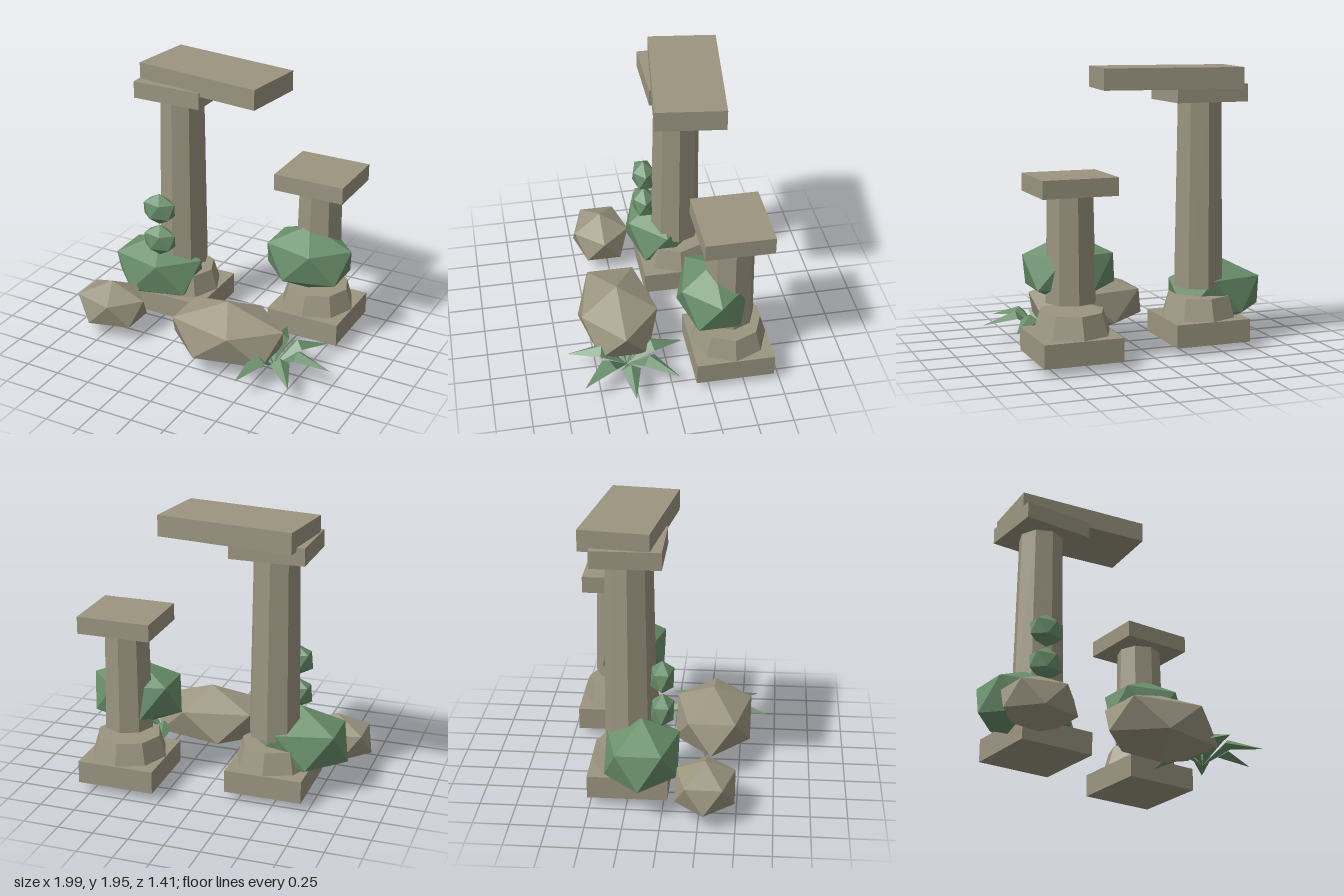
import * as THREE from 'three';

const stone = new THREE.MeshStandardMaterial({ color: 0x9b9580, flatShading: true });
stone.name = 'stone';
const leafGreen = new THREE.MeshStandardMaterial({ color: 0x6a906c, flatShading: true, side: THREE.DoubleSide });
leafGreen.name = 'leafGreen';

function mesh(name, geometry, material, x, y, z) {
  const m = new THREE.Mesh(geometry, material);
  m.name = name;
  m.position.set(x, y, z);
  return m;
}

function fromIndexed(points, faces) {
  const indexed = new THREE.BufferGeometry();
  indexed.setAttribute('position', new THREE.Float32BufferAttribute(points.flat(), 3));
  indexed.setIndex(faces.flat());
  const g = indexed.toNonIndexed();
  g.computeVertexNormals();
  return g;
}

// Icosahedron standing on a vertex, with one upper ring corner facing +x
function poleIcosahedron() {
  const points = [[0, 1, 0], [0, -1, 0]];
  const h = 1 / Math.sqrt(5), r = 2 * h;
  for (let k = 0; k < 5; k++) {
    const a = k * Math.PI * 2 / 5, b = a + Math.PI / 5;
    points.push([r * Math.cos(a), h, r * Math.sin(a)]);
    points.push([r * Math.cos(b), -h, r * Math.sin(b)]);
  }
  const faces = [];
  for (let k = 0; k < 5; k++) {
    const n = (k + 1) % 5;
    const u = 2 + 2 * k, l = u + 1, un = 2 + 2 * n, ln = un + 1;
    faces.push([0, un, u], [u, un, l], [l, un, ln], [l, ln, 1]);
  }
  return fromIndexed(points, faces);
}

function blob(name, material, [x, y, z], [rx, ry, rz]) {
  return mesh(name, poleIcosahedron().scale(rx, ry, rz), material, x, y, z);
}

// Octagonal pillar: square plinth, sloped foot, tapered shaft, square cap
function pillar(name, x, z, shaftTop, bottomRadius) {
  const g = new THREE.Group();
  g.name = name;
  g.position.set(x, 0, z);
  const shaftH = shaftTop - 0.43;
  g.add(
    mesh('plinth', new THREE.BoxGeometry(0.545, 0.16, 0.55), stone, 0, 0.14, 0),
    mesh('foot', new THREE.CylinderGeometry(0.225, 0.27, 0.15, 8), stone, 0, 0.295, 0),
    mesh('shaft', new THREE.CylinderGeometry(0.16, bottomRadius, shaftH, 8), stone, 0, 0.43 + shaftH / 2, 0.005),
    mesh('cap', new THREE.BoxGeometry(0.515, 0.12, 0.47), stone, 0.003, shaftTop + 0.06, 0.005)
  );
  return g;
}

// Folded leaves radiating from a low root
function spikyPlant() {
  const g = new THREE.Group();
  g.name = 'spikyPlant';
  g.position.set(0.571, 0, 0.287);
  const leaf = fromIndexed(
    [[0, 0.06, 0], [0.18, 0.18, 0.068], [0.18, 0.225, 0], [0.18, 0.18, -0.068], [0.424, 0.135, 0]],
    [[0, 1, 2], [0, 2, 3], [1, 4, 2], [2, 4, 3]]
  );
  for (let k = 0; k < 7; k++) {
    const m = mesh('leaf', leaf, leafGreen, 0, 0, 0);
    m.rotation.y = k * Math.PI * 2 / 7;
    g.add(m);
  }
  return g;
}

export function createModel() {
  const model = new THREE.Group();
  model.name = 'overgrownRuin';

  // Pillars and the skewed slab
  model.add(pillar('tallPillar', -0.43, -0.243, 1.72, 0.18));
  model.add(pillar('shortPillar', 0.572, -0.434, 1.15, 0.175));
  const slab = mesh('lintel', new THREE.BoxGeometry(0.96, 0.145, 0.475), stone, -0.172, 1.884, -0.255);
  slab.rotation.y = -0.128;
  model.add(slab);

  // Fallen rocks
  model.add(blob('smallRock', stone, [-0.737, 0.208, 0.288], [0.293, 0.188, 0.238]));
  model.add(blob('largeRock', stone, [0.218, 0.243, 0.302], [0.478, 0.238, 0.318]));

  // Bushes and climbing clumps
  model.add(blob('lowBush', leafGreen, [-0.587, 0.36, -0.15], [0.386, 0.26, 0.294]));
  model.add(blob('highBush', leafGreen, [0.547, 0.63, -0.315], [0.361, 0.25, 0.272]));
  for (const y of [0.65, 0.895]) {
    model.add(blob('vineClump', leafGreen, [-0.507, y, -0.015], [0.14, 0.12, 0.09]));
  }

  model.add(spikyPlant());
  return model;
}
